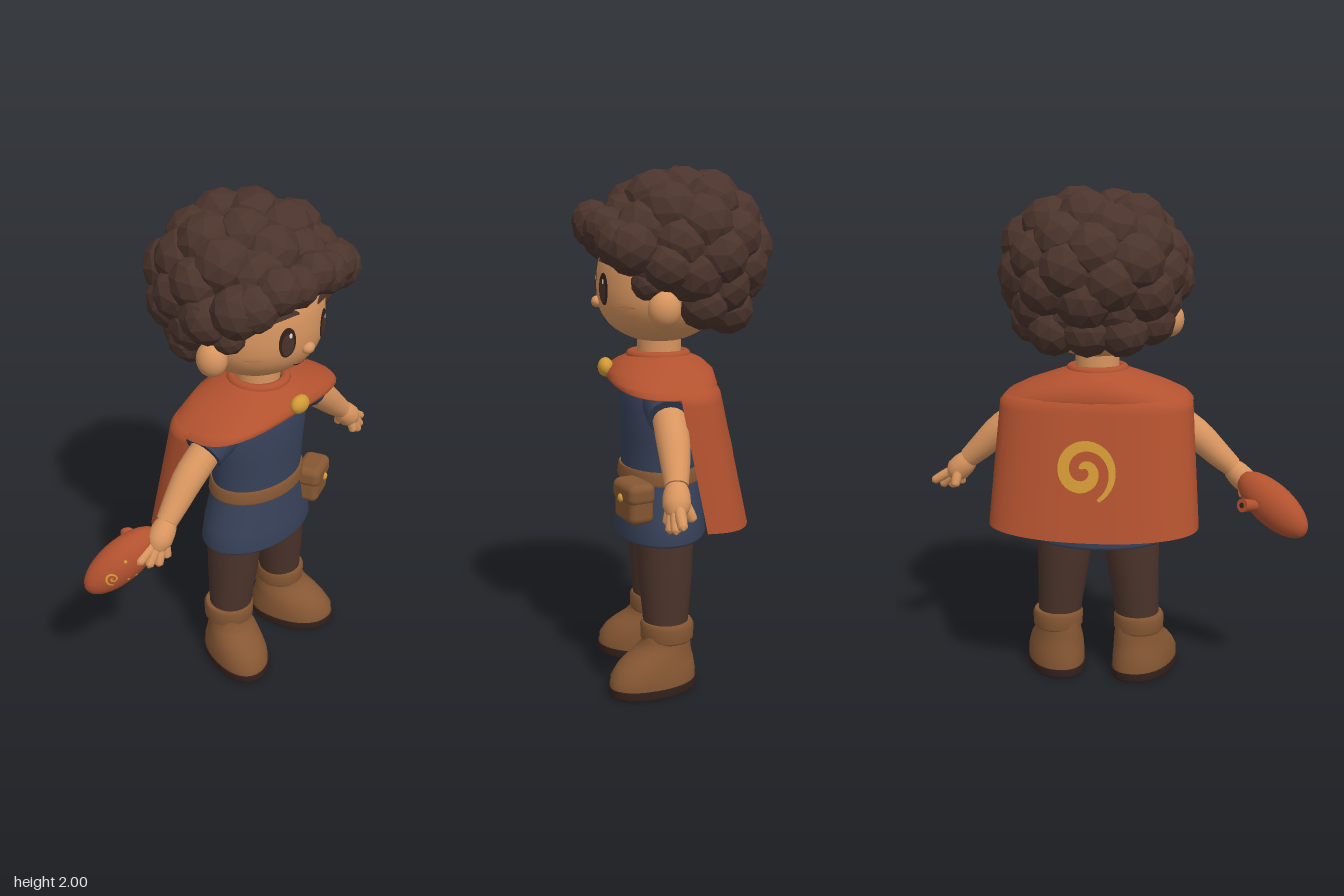
import * as THREE from 'three';
import { RoundedBoxGeometry } from 'three/addons/geometries/RoundedBoxGeometry.js';

const paint = (name, color) => {
  const m = new THREE.MeshStandardMaterial({ color, side: THREE.DoubleSide });
  m.name = name;
  return m;
};
const MAT = {
  skin: paint('skin', 0xd8955f), hair: paint('hair brown', 0x4b342c), cape: paint('rust red', 0xb3522f),
  navy: paint('navy cloth', 0x374159), pants: paint('dark brown cloth', 0x4a332a),
  leather: paint('leather', 0x865733), dark: paint('dark sole', 0x33211c),
  gold: paint('gold', 0xd29a35), white: paint('eye glint', 0xe8ddd2), blush: paint('blush', 0xd28d58),
};
const CX = 0.066, CZ = 0.05, SEG = 32;

export function createModel() {
  const model = new THREE.Group();
  model.name = 'curlyHairedAdventurer';
  const body = new THREE.Group();
  body.name = 'figure';
  body.position.x = CX;
  model.add(body);

  const add = (name, geo, mat, pos = [0, 0, 0], parent = body) => {
    const m = new THREE.Mesh(geo, mat);
    m.name = name;
    m.position.set(...pos);
    parent.add(m);
    return m;
  };
  const build = (pos, idx) => {
    const g = new THREE.BufferGeometry();
    g.setAttribute('position', new THREE.Float32BufferAttribute(pos, 3));
    g.setIndex(idx);
    g.computeVertexNormals();
    return g;
  };
  // Closed skin over rings of points, with optional flat end caps
  const skin = (rings, caps = true) => {
    const n = rings[0].length, pos = rings.flat(2), idx = [];
    for (let i = 0; i < rings.length - 1; i++) for (let j = 0; j < n; j++) {
      const a = i * n + j, b = i * n + (j + 1) % n;
      idx.push(a, a + n, b, b, a + n, b + n);
    }
    if (caps) [rings[0], rings[rings.length - 1]].forEach((r, end) => {
      const s = pos.length / 3;
      pos.push(...[0, 1, 2].map(k => r.reduce((t, p) => t + p[k], 0) / n), ...r.flat());
      for (let j = 0; j < n; j++) {
        const a = s + 1 + j, b = s + 1 + (j + 1) % n;
        idx.push(s, ...(end ? [b, a] : [a, b]));
      }
    });
    return build(pos, idx);
  };
  // Stacked horizontal ovals: [y, rx, rz, cx, cz, roundness exponent]; splay leans the front sideways
  const loft = (rows, caps = true, splay = 0) => skin(rows.map(([y, rx, rz, cx = 0, cz = CZ, e = 1]) =>
    Array.from({ length: SEG }, (_, j) => {
      const a = j / SEG * Math.PI * 2, c = Math.cos(a), s = Math.sin(a);
      const z = cz + rz * Math.sign(s) * Math.abs(s) ** e;
      return [cx + rx * Math.sign(c) * Math.abs(c) ** e + splay * (z - 0.09), y, z];
    })), caps);
  // Tapered limb through [x, y, z, radius] stations
  const limb = (st, steps = 10, n = 16) => {
    const curve = new THREE.CatmullRomCurve3(st.map(p => new THREE.Vector3(p[0], p[1], p[2])));
    const rings = [];
    for (let i = 0; i <= steps; i++) {
      const t = i / steps, k = Math.min(t * (st.length - 1), st.length - 1.0001), f = Math.floor(k);
      const r = THREE.MathUtils.lerp(st[f][3], st[f + 1][3], k - f);
      const p = curve.getPoint(t), d = curve.getTangent(t);
      const u = new THREE.Vector3(0, 0, 1).cross(d).normalize(), v = u.clone().cross(d);
      rings.push(Array.from({ length: n }, (_, j) => {
        const a = j / n * Math.PI * 2;
        return p.clone().addScaledVector(u, r * Math.cos(a)).addScaledVector(v, r * Math.sin(a)).toArray();
      }));
    }
    return skin(rings);
  };
  const ball = (rx, ry, rz) => new THREE.SphereGeometry(1, 24, 16).scale(rx, ry, rz);
  // Painted strip and painted spot, laid on a surface z = f(x, y)
  const ribbon = (pts, width, f, flip = false) => {
    const pos = [], idx = [], n = pts.length;
    pts.forEach(([x, y], i) => {
      const p = pts[Math.max(i - 1, 0)], q = pts[Math.min(i + 1, n - 1)];
      const l = Math.hypot(q[0] - p[0], q[1] - p[1]), w = width(i / (n - 1)) / 2;
      const nx = -(q[1] - p[1]) / l * w, ny = (q[0] - p[0]) / l * w;
      for (const s of [1, -1]) pos.push(x + nx * s, y + ny * s, f(x + nx * s, y + ny * s));
      if (i) {
        const a = 2 * i - 2;
        idx.push(...(flip ? [a, a + 2, a + 1, a + 1, a + 2, a + 3] : [a, a + 1, a + 2, a + 1, a + 3, a + 2]));
      }
    });
    return build(pos, idx);
  };
  const spot = (x, y, rx, ry, f) => {
    const g = new THREE.CircleGeometry(1, 24).scale(rx, ry, 1).translate(x, y, 0), p = g.attributes.position;
    for (let i = 0; i < p.count; i++) p.setZ(i, f(p.getX(i), p.getY(i)));
    g.computeVertexNormals();
    return g;
  };
  const spiral = (x, y, r, turns) => Array.from({ length: 61 }, (_, i) => {
    const t = i / 60, a = -Math.PI / 2 - 0.5 - (1 - t) * turns * Math.PI * 2;
    return [x + Math.cos(a) * r * (0.1 + 0.9 * t), y + Math.sin(a) * r * (0.1 + 0.9 * t)];
  });

  // Head with a broad jaw
  const HY = 1.55, HRX = 0.265, HRZ = 0.24, hry = y => (y < HY ? 0.21 : 0.27);
  const faceZ = lift => (x, y) => CZ + lift + HRZ * Math.sqrt(Math.max(0,
    1 - (x / HRX) ** 2 - Math.abs((y - HY) / hry(y)) ** 2.5));
  add('head', loft(Array.from({ length: 25 }, (_, i) => {
    const a = 0.01 + i / 24 * (Math.PI - 0.02), s = -Math.cos(a), y = Math.sign(s) * Math.abs(s) ** 0.8;
    return [HY + y * (y < 0 ? 0.21 : 0.27), HRX * Math.sin(a), HRZ * Math.sin(a)];
  })), MAT.skin);
  add('neck', loft([[1.24, 0.088, 0.085], [1.4, 0.088, 0.085]]), MAT.skin);
  add('nose', ball(0.028, 0.022, 0.022), MAT.skin, [0, 1.495, 0.288]);
  for (const s of [1, -1]) {
    add('ear', ball(0.055, 0.068, 0.06), MAT.skin, [s * 0.285, 1.487, 0.072]);
    add('eye', spot(s * 0.103, 1.55, 0.033, 0.06, faceZ(0.004)), MAT.dark);
    add('iris', spot(s * 0.103, 1.542, 0.024, 0.044, faceZ(0.006)), MAT.pants);
    add('eyeGlint', spot(s * 0.103 + 0.008, 1.578, 0.006, 0.01, faceZ(0.008)), MAT.white);
    add('cheek', spot(s * 0.2, 1.485, 0.026, 0.009, faceZ(0.003)), MAT.blush);
    add('eyebrow', ribbon(Array.from({ length: 11 }, (_, i) =>
      [s * 0.105 + (i - 5) * 0.0105, 1.66 - 0.016 * ((i - 5 + s * 1.2) / 5) ** 2]),
      t => 0.008 + 0.022 * Math.sin(Math.PI * t), faceZ(0.008)), MAT.hair);
  }
  add('mouth', ribbon(Array.from({ length: 11 }, (_, i) => [(i - 5) * 0.0105, 1.42 + 0.018 * ((i - 5) / 5) ** 2]),
    t => 0.003 + 0.005 * Math.sin(Math.PI * t), faceZ(0.005)), MAT.dark);

  // Curly hair: a core covered in large faceted clumps
  const hair = new THREE.Group();
  hair.name = 'hair';
  body.add(hair);
  add('hairCore', ball(0.29, 0.25, 0.26), MAT.hair, [0, 1.7, -0.04], hair);
  let seed = 7;
  const rnd = () => (seed = (seed * 16807) % 2147483647) / 2147483647;
  const clump = (x, y, z, r) => {
    const g = new THREE.IcosahedronGeometry(r, 1);
    g.computeVertexNormals();
    add('curl', g, MAT.hair, [x, y, z], hair).rotation.set(rnd() * 6, rnd() * 6, rnd() * 6);
  };
  const COUNT = 50;
  for (let i = 0; i < COUNT; i++) {
    const dy = 1 - (i + 0.5) / COUNT * 2, q = Math.sqrt(1 - dy * dy) ** 0.9, a = i * 2.39996, k = 0.97 + rnd() * 0.06;
    const x = 0.268 * k * q * Math.cos(a), y = 1.69 + dy * k * 0.203, z = -0.025 + 0.248 * k * q * Math.sin(a);
    const low = z > 0.1 ? 1.76 : z > -0.03 ? 1.64 : 1.48;
    if (y >= low) clump(x, y, z, 0.106 + rnd() * 0.014);
  }
  for (let i = 0; i < 7; i++) {
    const x = -0.24 + i * 0.08;
    clump(x, 1.775 - 0.9 * x * x + 0.02 * (i % 2), 0.3 - 1.2 * x * x, 0.08 + rnd() * 0.012);
  }
  for (const s of [1, -1]) {
    clump(s * 0.272, 1.705, 0.185, 0.1);
    clump(s * 0.29, 1.64, 0.06, 0.092);
    clump(s * 0.252, 1.58, 0.125, 0.064);
    clump(s * 0.225, 1.5, -0.08, 0.095);
  }
  for (let i = -1; i <= 1; i++) clump(i * 0.13, 1.475, -0.21 + 0.02 * Math.abs(i), 0.1);

  // Tunic, belt and pouch
  add('tunic', loft([[0.587, 0.262, 0.17], [0.6, 0.274, 0.178], [0.68, 0.262, 0.17], [0.8, 0.222, 0.155], [0.86, 0.212, 0.15],
    [0.98, 0.224, 0.152], [1.1, 0.238, 0.155], [1.19, 0.215, 0.145], [1.25, 0.13, 0.1]]), MAT.navy);
  add('belt', loft([[0.812, 0.224, 0.161], [0.822, 0.229, 0.165], [0.858, 0.222, 0.161], [0.868, 0.216, 0.157]]), MAT.leather);
  const pouch = new THREE.Group();
  pouch.name = 'pouch';
  pouch.position.set(0.203, 0.762, 0.175);
  pouch.rotation.set(0, 0.35, -0.04);
  body.add(pouch);
  add('pouchBag', new RoundedBoxGeometry(0.16, 0.152, 0.1, 3, 0.028), MAT.leather, [0, 0, 0], pouch);
  add('pouchFlap', new RoundedBoxGeometry(0.17, 0.085, 0.11, 3, 0.03), MAT.leather, [0, 0.04, 0.002], pouch);
  add('pouchButton', ball(0.016, 0.016, 0.01), MAT.gold, [0, 0.02, 0.058], pouch);

  // Arms, hands, legs and boots with toes turned out
  for (const s of [1, -1]) {
    const m = st => st.map(([x, y, z, r]) => [s * x, y, z, r]);
    add('sleeve', limb(m([[0.16, 1.15, 0.055, 0.075], [0.25, 1.14, 0.06, 0.088], [0.325, 1.1, 0.06, 0.08]])), MAT.navy);
    add('arm', limb(m([[0.25, 1.14, 0.06, 0.062], [0.4, 1.03, 0.058, 0.062], [0.48, 0.955, 0.062, 0.052],
      [0.54, 0.9, 0.068, 0.042]])), MAT.skin);
    add('palm', limb(m([[0.525, 0.915, 0.066, 0.03], [0.555, 0.88, 0.07, 0.048], [0.59, 0.845, 0.075, 0.05],
      [0.615, 0.815, 0.08, 0.03], [0.622, 0.808, 0.08, 0.002]])), MAT.skin);
    const tips = [[0.702, 0.79, 0.07], [0.668, 0.766, 0.09], [0.63, 0.758, 0.106], [0.585, 0.775, 0.11], [0.59, 0.785, 0.015]];
    tips.forEach((t, i) => {
      const b = [0.58 + (t[0] - 0.58) * 0.25, 0.845, 0.072 + (t[2] - 0.072) * 0.5];
      const at = k => b.map((v, c) => v + (t[c] - v) * k);
      add(i === 4 ? 'thumb' : 'finger', limb(m([[...b, 0.02], [...at(0.5), 0.02], [...at(0.88), 0.017], [...t, 0.002]]), 9, 10), MAT.skin);
    });
    add('trouserLeg', loft([[0.22, 0.085, 0.085, s * 0.165], [0.3, 0.092, 0.09, s * 0.16], [0.45, 0.104, 0.105, s * 0.147],
      [0.6, 0.116, 0.112, s * 0.135], [0.7, 0.11, 0.11, s * 0.13]]), MAT.pants);
    add('bootSole', loft([[0, 0.119, 0.172, s * 0.186, 0.105, 0.9], [0.01, 0.124, 0.178, s * 0.186, 0.105, 0.9],
      [0.036, 0.123, 0.176, s * 0.186, 0.105, 0.9]], true, s * 0.22), MAT.dark);
    add('boot', loft([[0.034, 0.119, 0.172, s * 0.186, 0.105, 0.9], [0.07, 0.12, 0.17, s * 0.186, 0.103, 0.9],
      [0.11, 0.115, 0.155, s * 0.184, 0.094], [0.14, 0.109, 0.133, s * 0.182, 0.08], [0.17, 0.1, 0.11, s * 0.179, 0.06],
      [0.2, 0.093, 0.096, s * 0.178, 0.048], [0.25, 0.09, 0.09, s * 0.178, 0.046]], true, s * 0.22), MAT.leather);
    add('bootCuff', loft([[0.196, 0.094, 0.094, s * 0.17, 0.046], [0.206, 0.102, 0.103, s * 0.17, 0.046],
      [0.258, 0.104, 0.104, s * 0.17, 0.046], [0.272, 0.096, 0.096, s * 0.17, 0.046]]), MAT.leather);
  }

  // Mantle over the shoulders, its front hem lifted towards the brooch
  const mantle = loft([[1.168, 0.375, 0.2, 0, CZ, 0.76], [1.175, 0.384, 0.206, 0, CZ, 0.76], [1.2, 0.36, 0.208, 0, CZ, 0.78],
    [1.24, 0.28, 0.2, 0, CZ, 0.85], [1.272, 0.19, 0.165], [1.292, 0.13, 0.12], [1.3, 0.1, 0.095]], false);
  const mp = mantle.attributes.position;
  for (let i = 0; i < mp.count; i++) {
    const front = Math.min(1, Math.max(0, (mp.getZ(i) - CZ) / 0.1)), drop = Math.max(0, (1.24 - mp.getY(i)) / 0.07);
    mp.setY(i, mp.getY(i) + 0.035 * front * drop * (1 - (mp.getX(i) / 0.39) ** 2));
  }
  mantle.computeVertexNormals();
  add('mantle', mantle, MAT.cape);
  add('collar', new THREE.TorusGeometry(0.105, 0.02, 12, 32).rotateX(Math.PI / 2), MAT.cape, [0, 1.29, 0.053]);
  add('brooch', ball(0.045, 0.037, 0.03), MAT.gold, [0, 1.243, 0.258]);

  // Cape: a squared curve that flows out of the mantle and flares towards its hem
  const capeT = y => (1.2 - y) / 0.53;
  const tuck = y => 1 - 0.55 * (Math.max(0, y - 1.17) / 0.08) ** 2;
  const capeW = y => (0.382 + 0.038 * capeT(y)) * tuck(y);
  const capeZ = (x, y) => {
    const t = capeT(y), s = Math.min(1, Math.abs(x) / capeW(y));
    return 0.03 - 0.1 * t - (0.19 + 0.01 * t) * tuck(y) * (1 - s ** 2.7) ** (1 / 2.7);
  };
  const pos = [], idx = [], U = 40, V = 24;
  for (let i = 0; i <= V; i++) for (let j = 0; j <= U; j++) {
    const s = Math.sin((j / U - 0.5) * Math.PI), y = 1.215 - i / V * (0.55 - 0.02 * s * s), x = s * capeW(y);
    pos.push(x, y, capeZ(x, y));
    if (i && j) {
      const d = i * (U + 1) + j, c = d - 1, b = d - U - 1, a = b - 1;
      idx.push(a, b, c, b, d, c);
    }
  }
  add('cape', build(pos, idx), MAT.cape);
  add('capeSpiral', ribbon(spiral(0.018, 0.937, 0.125, 1.55), t => 0.012 + 0.034 * Math.sin(Math.PI * t) ** 0.7,
    (x, y) => capeZ(x, y) - 0.006, true), MAT.gold);

  // Egg-shaped wind instrument held in the right hand
  const flute = new THREE.Group();
  flute.name = 'clayFlute';
  flute.position.set(-0.704, 0.772, -0.012);
  flute.rotation.set(0, -0.44, 0.6, 'YXZ');
  body.add(flute);
  const eggZ = (x, y) => 0.004 + 0.072 * Math.sqrt(Math.max(0, 1 - (x / 0.175) ** 2 - (y / 0.085) ** 2));
  add('fluteBody', ball(0.175, 0.085, 0.072), MAT.cape, [0, 0, 0], flute);
  const stem = new THREE.Group();
  stem.name = 'flutePipe';
  stem.position.set(0.025, -0.022, -0.02);
  stem.rotation.y = -0.35;
  flute.add(stem);
  add('mouthpiece', new THREE.CylinderGeometry(0.02, 0.027, 0.09, 16).rotateX(Math.PI / 2), MAT.cape, [0, 0, -0.075], stem);
  add('mouthHole', new THREE.CircleGeometry(0.011, 16).rotateY(Math.PI), MAT.dark, [0, 0, -0.122], stem);
  add('fluteSpiral', ribbon(spiral(-0.06, 0.018, 0.028, 1.4), () => 0.007, eggZ), MAT.gold, [0, 0, 0], flute);
  for (const [x, y] of [[-0.02, -0.03], [0.01, -0.045], [0.02, 0.04]])
    add('fluteDot', spot(x, y, 0.006, 0.006, eggZ), MAT.gold, [0, 0, 0], flute);

  return model;
}
